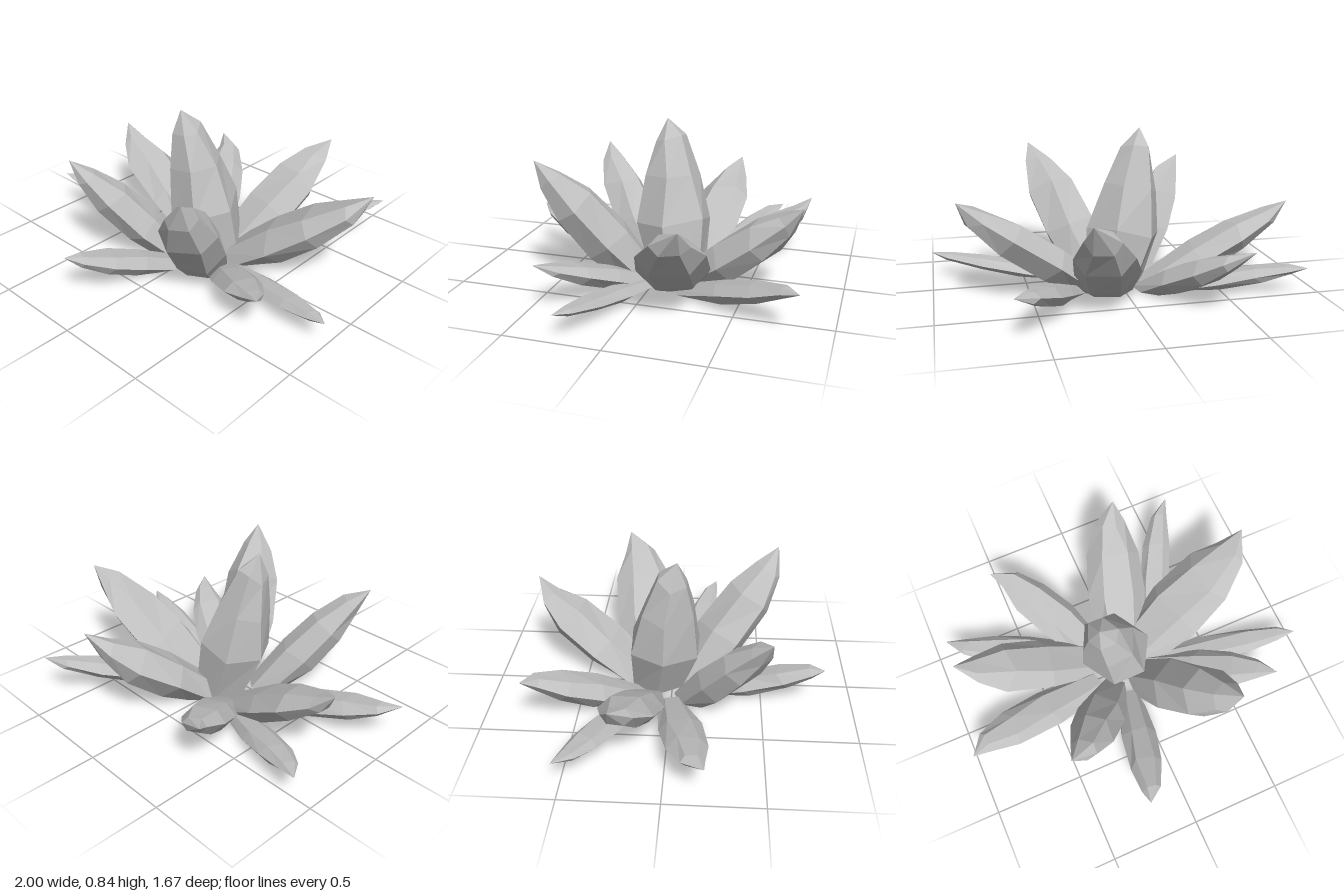
import * as THREE from 'three';

const SIDES = 6;
// [distance along the axis, radius] for the cross-sections below the point
const BROAD = [[0, 0.75], [0.33, 1], [0.64, 0.92], [0.87, 0.53]];
const SLIM = [[0, 0.75], [0.34, 1], [0.62, 0.74], [0.86, 0.42]];

// Small seeded generator for the uneven facets, returns -1..1
function seeded(seed) {
  let s = seed * 7919 + 17;
  return () => {
    s = (s * 16807) % 2147483647;
    return (s / 2147483647) * 2 - 1;
  };
}

// A six-sided crystal cut flat at the ground; the axis runs from base to
// tip + skew, so that the point can sit off centre
function crystalGeometry(rings, base, tip, width, thick, skew, seed) {
  const rnd = seeded(seed);
  for (let i = 0; i < 5; i++) rnd();
  const a = new THREE.Vector3(...base);
  const aim = new THREE.Vector3(...tip).add(new THREE.Vector3(...skew));
  const len = a.distanceTo(aim);
  const d = aim.sub(a).normalize();
  const side = new THREE.Vector3(0, 1, 0).cross(d).normalize();
  const up = d.clone().cross(side);
  const pts = [], index = [];
  rings.forEach(([t, r], k) => {
    for (let j = 0; j < SIDES; j++) {
      const ang = (j / SIDES) * Math.PI * 2 + rnd() * 0.1;
      const rad = r * (1 + rnd() * 0.05);
      const along = k ? t + rnd() * 0.03 : 0;
      const p = a.clone().addScaledVector(d, along * len)
        .addScaledVector(side, Math.cos(ang) * rad * width / 2)
        .addScaledVector(up, Math.sin(ang) * rad * thick / 2);
      // slide the foot along the axis towards the ground
      if (k === 0) p.addScaledVector(d, THREE.MathUtils.clamp(-p.y / d.y, -0.09, 0.09));
      pts.push(p.x, Math.max(p.y, 0), p.z);
    }
  });
  pts.push(...tip, ...base);
  const tipI = rings.length * SIDES, baseI = tipI + 1;
  for (let j = 0; j < SIDES; j++) {
    const n = (j + 1) % SIDES;
    for (let k = 0; k < rings.length - 1; k++) {
      const p = k * SIDES, q = p + SIDES;
      index.push(p + j, p + n, q + n, p + j, q + n, q + j);
    }
    const last = tipI - SIDES;
    index.push(last + j, last + n, tipI);
    index.push(n, j, baseI);
  }
  const g = new THREE.BufferGeometry();
  g.setAttribute('position', new THREE.Float32BufferAttribute(pts, 3));
  g.setIndex(index);
  const flat = g.toNonIndexed();
  flat.computeVertexNormals();
  return flat;
}

export function createModel() {
  const group = new THREE.Group();
  group.name = 'crystalCluster';
  const stone = new THREE.MeshStandardMaterial({ color: 0xc0c0c0 });
  stone.name = 'greyCrystal';

  // name, profile, base, tip, width, thickness, skew of the axis end from the tip
  const crystals = [
    ['centreCrystal', SLIM, [0.02, 0, -0.08], [-0.15, 0.84, 0.03], 0.42, 0.41, [0, 0, -0.01]],
    // tall slanted crystals
    ['frontLeftTall', BROAD, [0.11, 0, 0.12], [0.4, 0.69, 0.59], 0.34, 0.28, [-0.02, -0.03, 0]],
    ['frontRightTall', BROAD, [-0.14, 0, 0.12], [-0.52, 0.59, 0.52], 0.28, 0.22, [0.04, -0.02, 0]],
    ['sideLeftTall', BROAD, [0.18, 0, -0.11], [0.87, 0.55, -0.32], 0.38, 0.22, [0, -0.03, 0.04]],
    ['backLeftTall', BROAD, [0.08, 0, -0.2], [0.28, 0.52, -0.8], 0.35, 0.24, [-0.04, -0.04, 0]],
    ['sideRightTall', BROAD, [-0.2, 0, -0.14], [-0.91, 0.45, -0.25], 0.31, 0.18, [0, -0.03, 0.02]],
    // low spreading crystals
    ['backRightLow', BROAD, [-0.15, 0, -0.24], [-0.53, 0.33, -0.75], 0.25, 0.16, [0.06, -0.02, -0.01]],
    ['sideRightBackLow', BROAD, [-0.28, 0, -0.24], [-0.92, 0.15, -0.53], 0.18, 0.1, [0, 0, 0.03]],
    ['sideRightFrontLow', BROAD, [-0.27, 0, 0.02], [-1.0, 0.22, 0.2], 0.23, 0.12, [0, 0, -0.04]],
    ['frontLow', BROAD, [-0.05, 0, 0.24], [-0.21, 0.25, 0.83], 0.2, 0.13, [0.02, 0, 0]],
    ['frontLeftLow', BROAD, [0.2, 0, 0.08], [0.75, 0.26, 0.45], 0.23, 0.12, [0, -0.01, -0.02]],
    ['sideLeftLow', BROAD, [0.25, 0, 0.04], [1.0, 0.14, 0.24], 0.16, 0.08, [0, 0, -0.01]],
    ['backLeftLow', BROAD, [0.28, 0, -0.21], [0.65, 0.23, -0.84], 0.18, 0.12, [-0.04, 0, 0]],
  ];
  crystals.forEach(([name, rings, base, tip, width, thick, skew], i) => {
    const mesh = new THREE.Mesh(crystalGeometry(rings, base, tip, width, thick, skew, i + 1), stone);
    mesh.name = name;
    group.add(mesh);
  });
  return group;
}
